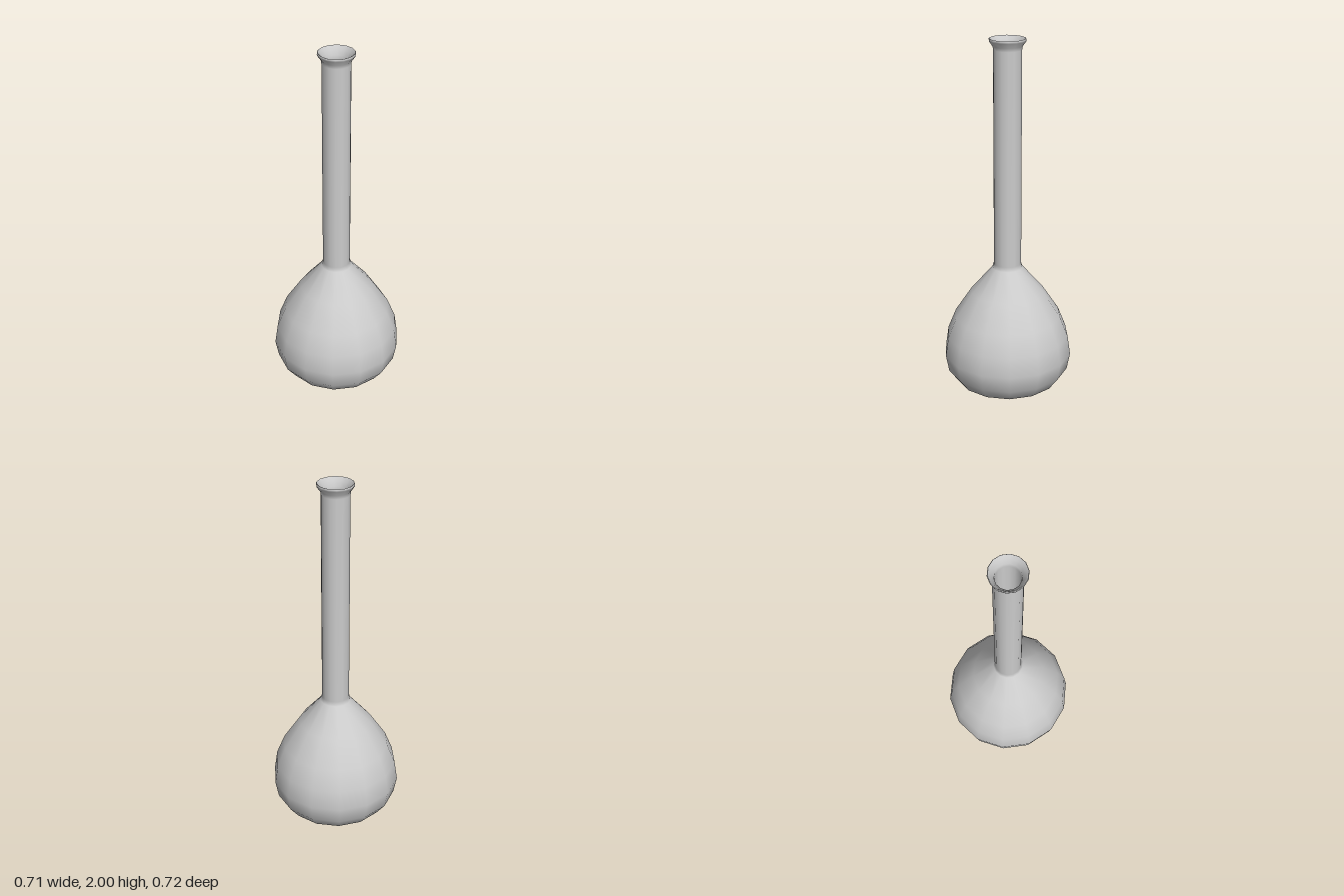
import * as THREE from 'three';

const SIDES = 14;

// Revolve a list of [radius, height] pairs into a smooth-shaded mesh
function lathe(name, profile, material) {
  const points = profile.map(([r, y]) => new THREE.Vector2(r, y));
  const mesh = new THREE.Mesh(new THREE.LatheGeometry(points, SIDES), material);
  mesh.name = name;
  return mesh;
}

export function createModel() {
  const group = new THREE.Group();
  group.name = 'flask';
  const glass = new THREE.MeshStandardMaterial({ color: 0xcccccc });

  // Outside: flat base, pear-shaped bulb, long neck, flared lip
  group.add(lathe('outerWall', [
    [0, 0.008], [0.08, 0.004], [0.165, 0], [0.175, 0.003],
    [0.29, 0.043], [0.344, 0.115], [0.362, 0.21], [0.346, 0.32],
    [0.3, 0.435], [0.205, 0.58], [0.085, 0.72], [0.077, 0.745],
    [0.077, 1.94], [0.08, 1.96], [0.098, 1.986], [0.1, 1.995], [0.097, 2],
  ], glass));

  // Inside: listed from the lip down, so the faces look inward
  group.add(lathe('innerWall', [
    [0.097, 2], [0.092, 1.998], [0.082, 1.98], [0.067, 1.955], [0.065, 1.93],
    [0.065, 0.74], [0.073, 0.715], [0.193, 0.573], [0.288, 0.43],
    [0.334, 0.317], [0.349, 0.21], [0.332, 0.12], [0.283, 0.055],
    [0.172, 0.016], [0.16, 0.015], [0, 0.015],
  ], glass));

  return group;
}
